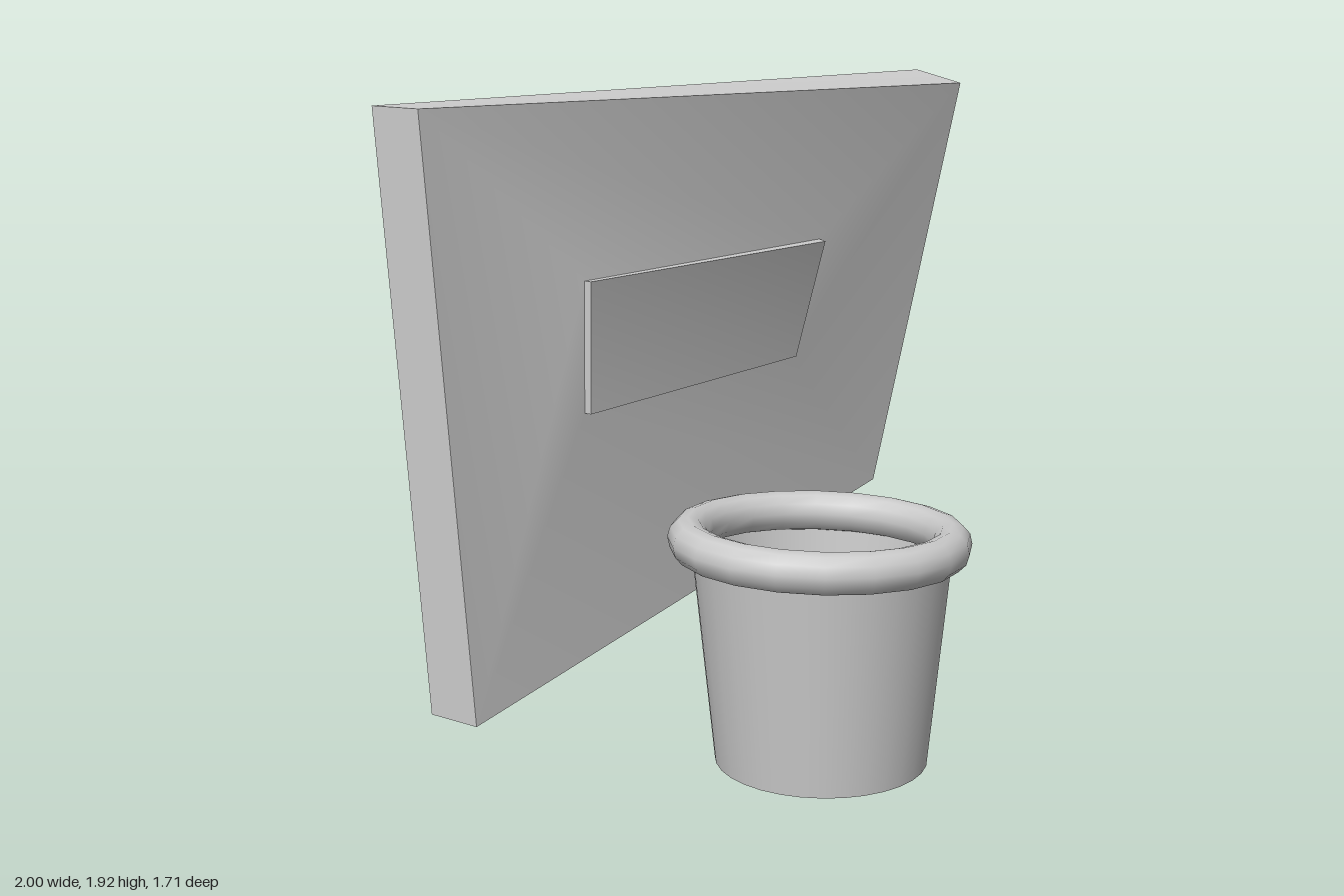
import * as THREE from 'three';

const material = new THREE.MeshStandardMaterial({ color: 0xcccccc });
const openMaterial = new THREE.MeshStandardMaterial({ color: 0xcccccc, side: THREE.DoubleSide });

// Corner order: front TL, TR, BR, BL, then the same four at the back.
// Each face lists its corners counter-clockwise from its own top left.
const SIDES = [[4, 0, 1, 5], [3, 7, 6, 2], [1, 2, 6, 5], [4, 7, 3, 0]];
const FRONT = [0, 3, 2, 1];
const BACK = [5, 6, 7, 4];

function buildMesh(name, positions, index, mat) {
  const geometry = new THREE.BufferGeometry();
  geometry.setAttribute('position', new THREE.Float32BufferAttribute(positions.flat(), 3));
  geometry.setIndex(index);
  geometry.computeVertexNormals();
  const mesh = new THREE.Mesh(geometry, mat);
  mesh.name = name;
  return mesh;
}

// Four-cornered faces with hard edges between them
function quadMesh(name, corners, faces, mat) {
  const positions = [];
  const index = [];
  faces.forEach((face, i) => {
    face.forEach((c) => positions.push(corners[c]));
    const o = i * 4;
    index.push(o, o + 1, o + 2, o, o + 2, o + 3);
  });
  return buildMesh(name, positions, index, mat);
}

// Smooth frame between an outer and an inner loop, both TL, TR, BR, BL
function frameMesh(name, outer, inner, mat) {
  const index = [];
  for (let i = 0; i < 4; i++) {
    const j = (i + 1) % 4;
    index.push(i, 4 + i, 4 + j, i, 4 + j, j);
  }
  return buildMesh(name, [...outer, ...inner], index, mat);
}

export function createModel() {
  const model = new THREE.Group();
  model.name = 'basketballHoop';

  // Twisted backboard, its front face framing the raised panel
  const boardFront = [[-1, 1.925, -0.165], [1, 1.885, 0.277], [1, 0.557, -0.015], [-1, 0.303, -0.018]];
  const boardBack = [[-1, 1.925, -0.325], [1, 1.92, 0.12], [1, 0.557, -0.177], [-1, 0.303, -0.178]];
  const panelBack = [[-0.5, 1.43, -0.035], [0.5, 1.435, 0.08], [0.5, 1.06, -0.022], [-0.5, 1.06, -0.04]];
  model.add(quadMesh('backboard', [...boardFront, ...boardBack], [...SIDES, BACK], material));
  model.add(frameMesh('backboardFront', boardFront, panelBack, material));

  // Target panel raised from the front of the board
  const panelFront = panelBack.map(([x, , z], i) => [x, i < 2 ? 1.43 : 1.06, z + 0.022]);
  model.add(quadMesh('targetPanel', [...panelFront, ...panelBack], [...SIDES, FRONT], material));

  // Hollow support arm, rising towards the back
  const armEnd = (top, bottom, z) => [
    [-0.14, top, z], [0.068, top, z], [0.068, bottom, z], [-0.14, bottom, z],
  ];
  model.add(quadMesh('supportArm', [
    ...armEnd(1.207, 1.002, -0.088), ...armEnd(1.327, 1.123, -0.855),
  ], SIDES, openMaterial));

  // Rim, slightly oval and tilted sideways
  const rimGeometry = new THREE.TorusGeometry(0.393, 0.06, 12, 20);
  rimGeometry.rotateX(Math.PI / 2);
  rimGeometry.scale(1, 1, 0.945);
  const rim = new THREE.Mesh(rimGeometry, material);
  rim.name = 'rim';
  rim.rotation.z = -0.057;
  rim.position.set(-0.018, 0.662, 0.427);
  model.add(rim);

  // Net: open tapered tube whose upper edge follows the tilt of the rim
  const netGeometry = new THREE.CylinderGeometry(0.375, 0.31, 0.65, 32, 1, true);
  netGeometry.translate(0, 0.325, 0);
  const p = netGeometry.attributes.position;
  for (let i = 0; i < p.count; i++) {
    if (p.getY(i) > 0.1) {
      p.setY(i, 0.65 - 0.057 * p.getX(i));
      p.setX(i, p.getX(i) - 0.01);
    }
  }
  const net = new THREE.Mesh(netGeometry, openMaterial);
  net.name = 'net';
  net.position.set(-0.005, 0, 0.43);
  model.add(net);

  return model;
}
